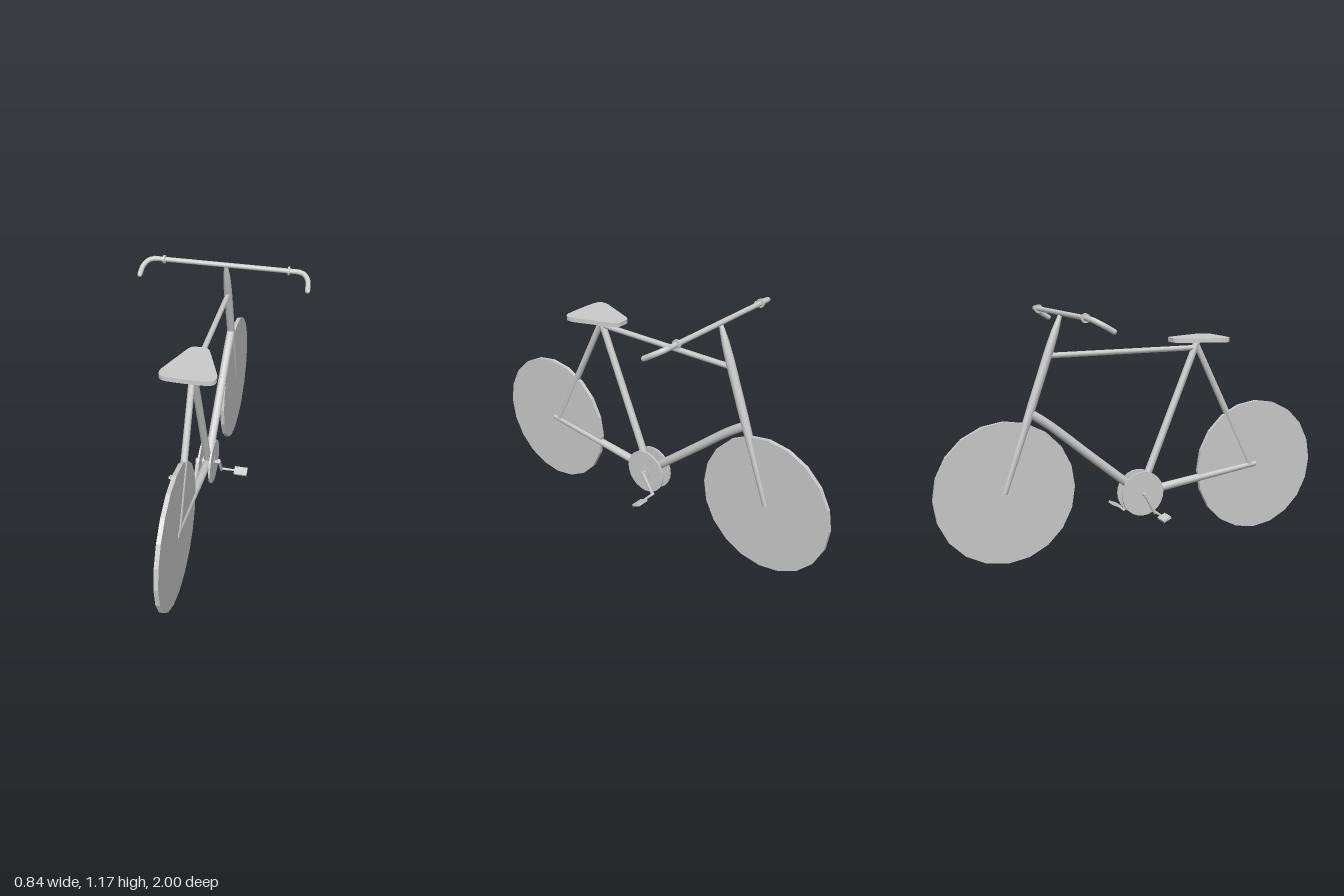
import * as THREE from 'three';

const mat = new THREE.MeshStandardMaterial({ color: 0xcccccc });
const flat = new THREE.MeshStandardMaterial({ color: 0xcccccc, flatShading: true });
const V = (x, y, z) => new THREE.Vector3(x, y, z);

export function createModel() {
  const bike = new THREE.Group();

  const add = (name, geometry, material = mat, parent = bike) => {
    const m = new THREE.Mesh(geometry, material);
    m.name = name;
    parent.add(m);
    return m;
  };

  // Straight tube from a to b, optionally tapered
  const rod = (name, a, b, ra, rb = ra, parent = bike) => {
    const m = add(name, new THREE.CylinderGeometry(rb, ra, a.distanceTo(b), 12), mat, parent);
    m.position.copy(a).add(b).multiplyScalar(0.5);
    m.quaternion.setFromUnitVectors(V(0, 1, 0), b.clone().sub(a).normalize());
    return m;
  };

  // Disc facing sideways
  const disc = (name, r, width, sides, x, y, z) => {
    const g = new THREE.CylinderGeometry(r, r, width, sides);
    g.rotateZ(Math.PI / 2);
    const m = add(name, g, flat);
    m.position.set(x, y, z);
    return m;
  };

  // Wheels
  disc('frontWheel', 0.335, 0.02, 20, 0, 0.335, -0.665);
  disc('rearWheel', 0.335, 0.02, 20, 0, 0.335, 0.665);

  // Frame
  rod('seatTube', V(0, 0.28, 0.025), V(0, 0.99, 0.322), 0.019, 0.017);
  rod('seatStay', V(0, 0.34, 0.637), V(0, 0.97, 0.318), 0.017, 0.015);
  rod('chainStay', V(0, 0.34, 0.67), V(0, 0.262, 0.04), 0.017, 0.021);
  rod('topTube', V(0, 0.957, 0.31), V(0, 0.957, -0.45), 0.013);
  const downPath = new THREE.CatmullRomCurve3([
    V(0, 0.27, 0.0), V(0, 0.46, -0.235), V(0, 0.64, -0.455), V(0, 0.695, -0.535)]);
  add('downTube', new THREE.TubeGeometry(downPath, 12, 0.021, 12));
  disc('bottomBracket', 0.03, 0.07, 14, 0, 0.26, 0.015);

  // Fork and steerer in one spindle, narrowing at the stem
  const forkTop = V(0, 1.145, -0.384), forkEnd = V(0, 0.335, -0.67);
  const length = forkTop.distanceTo(forkEnd);
  const profile = [[0, 0], [0.016, 0], [0.018, 0.3], [0.021, 0.5], [0.021, 0.8], [0.018, 0.9], [0.009, 1], [0, 1]]
    .map(([r, t]) => new THREE.Vector2(r, t * length));
  const fork = add('fork', new THREE.LatheGeometry(profile, 12));
  fork.position.copy(forkEnd);
  fork.quaternion.setFromUnitVectors(V(0, 1, 0), forkTop.clone().sub(forkEnd).normalize());

  // Saddle: rounded wedge, narrow at the nose
  const outline = new THREE.Shape();
  outline.moveTo(-0.02, 0.175);
  outline.lineTo(0.02, 0.175);
  outline.quadraticCurveTo(0.042, 0.178, 0.052, 0.205);
  outline.lineTo(0.122, 0.385);
  outline.quadraticCurveTo(0.135, 0.44, 0.09, 0.445);
  outline.quadraticCurveTo(0, 0.452, -0.09, 0.445);
  outline.quadraticCurveTo(-0.135, 0.44, -0.122, 0.385);
  outline.lineTo(-0.052, 0.205);
  outline.quadraticCurveTo(-0.042, 0.178, -0.02, 0.175);
  const saddle = new THREE.ExtrudeGeometry(outline, { depth: 0.021, bevelEnabled: false, curveSegments: 5 });
  saddle.rotateX(Math.PI / 2);
  add('saddle', saddle, flat).position.y = 1.011;

  // Handlebar with drooping grips
  rod('handlebar', V(-0.36, 1.147, -0.385), V(0.36, 1.147, -0.385), 0.012);
  for (const s of [1, -1]) {
    const side = s > 0 ? 'left' : 'right';
    const gripPath = new THREE.CatmullRomCurve3([
      V(s * 0.345, 1.147, -0.385), V(s * 0.378, 1.142, -0.377),
      V(s * 0.402, 1.124, -0.347), V(s * 0.409, 1.095, -0.298)]);
    add(side + 'Grip', new THREE.TubeGeometry(gripPath, 14, 0.0125, 10));
    const cap = add(side + 'GripEnd', new THREE.SphereGeometry(0.0125, 10, 6));
    cap.position.copy(gripPath.getPoint(1));
    disc(side + 'Collar', 0.021, 0.009, 14, s * 0.306, 1.147, -0.385);

    // Chainring, crank and pedal
    disc(side + 'Chainring', 0.11, 0.009, 24, s * 0.029, 0.26, 0.015);
    const crank = new THREE.Group();
    crank.name = side + 'Crank';
    bike.add(crank);
    const pz = s > 0 ? -0.053 : 0.07;
    rod('crankAxle', V(s * 0.025, 0.26, 0.015), V(s * 0.062, 0.26, 0.015), 0.008, 0.008, crank);
    rod('crankArm', V(s * 0.055, 0.267, 0.012), V(s * 0.055, 0.16, pz), 0.008, 0.008, crank);
    rod('pedalAxle', V(s * 0.05, 0.167, pz), V(s * 0.125, 0.167, pz), 0.007, 0.005, crank);
    const pedal = add('pedal', new THREE.BoxGeometry(0.066, 0.011, 0.044), flat, crank);
    pedal.position.set(s * 0.155, 0.166, pz);
    pedal.rotation.x = s * 0.4;
  }
  return bike;
}
